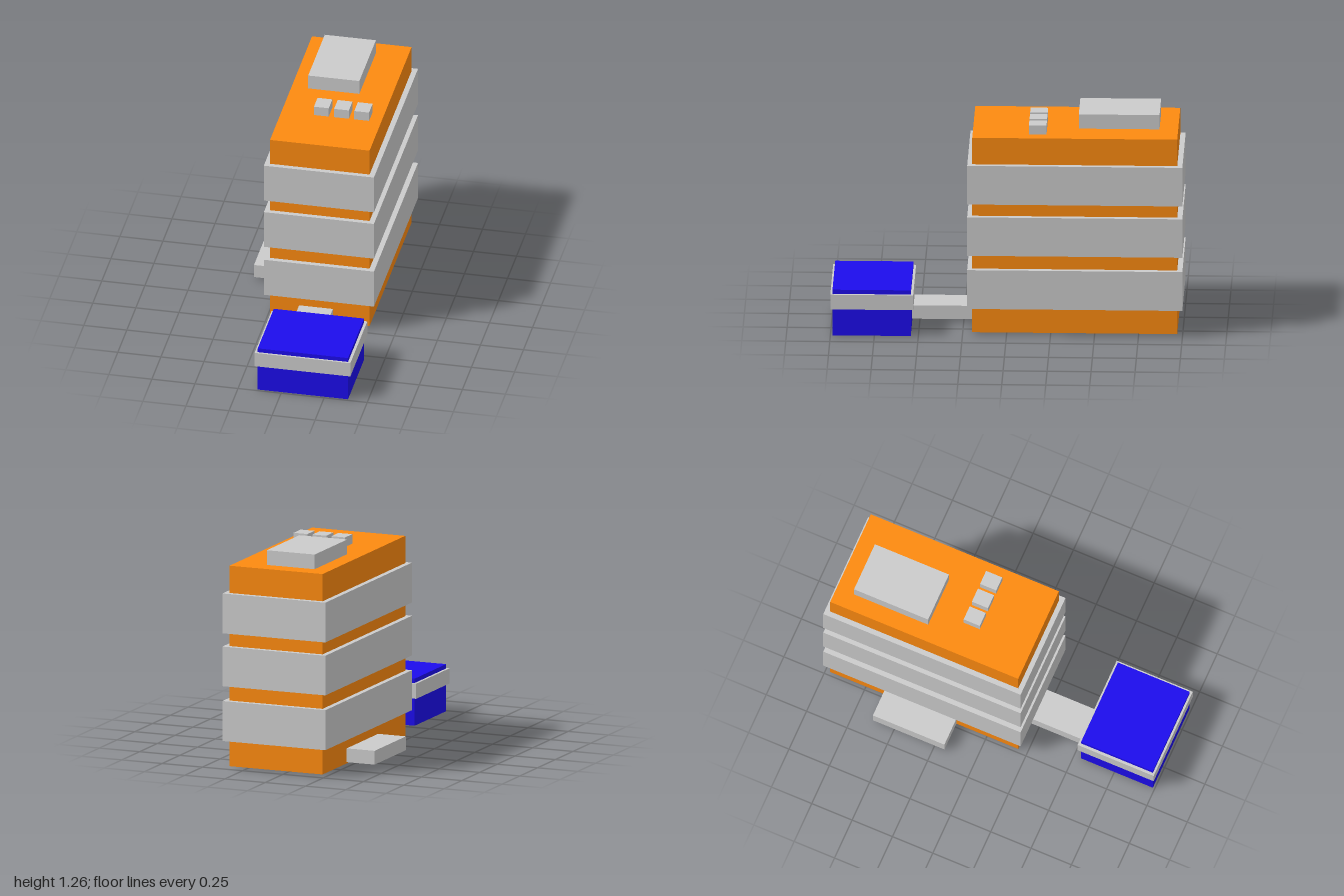
import * as THREE from 'three';

const grey = new THREE.MeshStandardMaterial({ color: 0xcccccc, side: THREE.DoubleSide });
const orange = new THREE.MeshStandardMaterial({ color: 0xfc8a10, side: THREE.DoubleSide });
const blue = new THREE.MeshStandardMaterial({ color: 0x1c0cec, side: THREE.DoubleSide });

// Box given by its extents along each axis; open boxes have no underside
function box(name, material, [x0, x1], [y0, y1], [z0, z1], open = false) {
  const geometry = new THREE.BoxGeometry(x1 - x0, y1 - y0, z1 - z0);
  if (open) {
    const index = Array.from(geometry.index.array);
    index.splice(18, 6); // the two triangles facing down
    geometry.setIndex(index);
    geometry.clearGroups();
  }
  const mesh = new THREE.Mesh(geometry, material);
  mesh.name = name;
  mesh.position.set((x0 + x1) / 2, (y0 + y1) / 2, (z0 + z1) / 2);
  return mesh;
}

export function createModel() {
  const model = new THREE.Group();
  model.name = 'officeBuilding';

  // Main tower: hollow shell crossed by three window bands
  const tower = new THREE.Group();
  tower.name = 'tower';
  tower.add(box('towerWalls', orange, [-0.233, 0.345], [0.013, 1.176], [-0.97, 0.195], true));
  [[0.162, 0.394], [0.48, 0.71], [0.787, 1.018]].forEach((y, i) => {
    tower.add(box(`windowBand${i + 1}`, grey, [-0.263, 0.376], y, [-1, 0.223]));
  });

  // Rooftop equipment
  const roof = new THREE.Group();
  roof.name = 'roofEquipment';
  roof.add(box('plantRoom', grey, [-0.137, 0.16], [1.17, 1.261], [-0.864, -0.405]));
  for (let i = 0; i < 3; i++) {
    const x = -0.045 + i * 0.117;
    roof.add(box(`roofVent${i + 1}`, grey, [x, x + 0.086], [1.17, 1.231], [-0.225, -0.125]));
  }
  tower.add(roof);

  // Low front pavilion with its own window band
  const pavilion = new THREE.Group();
  pavilion.name = 'pavilion';
  pavilion.add(
    box('pavilionWalls', blue, [-0.138, 0.386], [0, 0.273], [0.543, 0.988], true),
    box('pavilionBand', grey, [-0.154, 0.402], [0.16, 0.248], [0.529, 1])
  );

  // Low links, reaching slightly into the walls they meet
  model.add(
    tower,
    pavilion,
    box('connectingCorridor', grey, [-0.064, 0.132], [0.02, 0.1], [0.17, 0.57], true),
    box('sideAnnex', grey, [-0.406, -0.205], [0.02, 0.1], [-0.63, -0.187], true)
  );
  return model;
}
